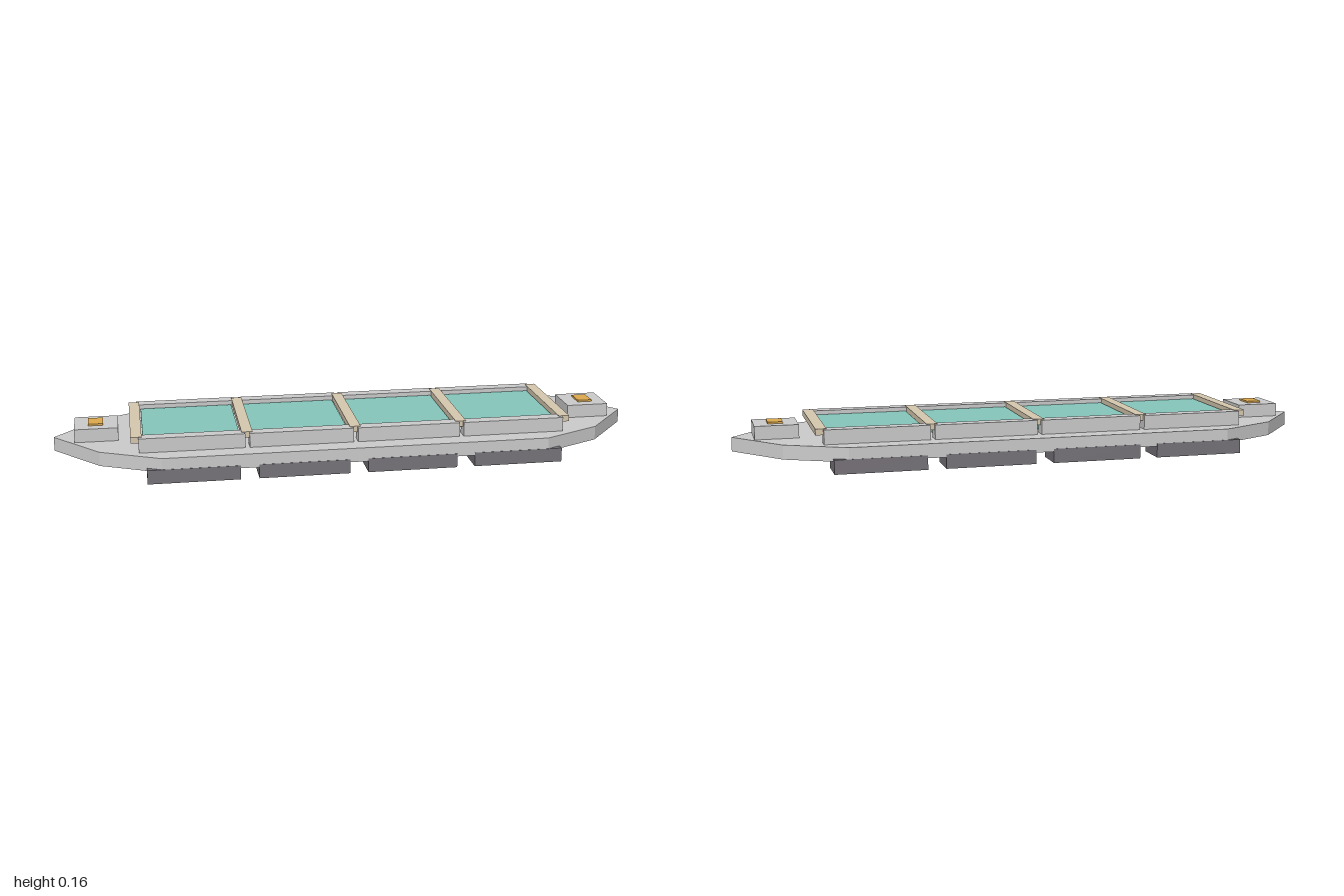
import * as THREE from 'three';

const mat = (color) => new THREE.MeshStandardMaterial({ color, flatShading: true });

export function createModel() {
  const model = new THREE.Group();
  model.name = 'barge';
  const grey = mat(0xcccccc), tan = mat(0xd7c9af), teal = mat(0x86c7bc);
  const amber = mat(0xdda94e), dark = mat(0x767279);

  // Box from its centre (u along the vessel, v across) and its bottom and top heights
  const box = (name, material, u, v, length, width, y0, y1) => {
    const mesh = new THREE.Mesh(new THREE.BoxGeometry(length, y1 - y0, width), material);
    mesh.position.set(u, (y0 + y1) / 2, v);
    mesh.name = name;
    model.add(mesh);
  };

  // Flat hull with pointed ends
  const quarter = [[1.156, 0], [0.98, 0.213], [0.75, 0.327]];
  const outline = [
    ...quarter,
    ...quarter.slice().reverse().map(([u, v]) => [-u, v]),
    ...quarter.slice(1).map(([u, v]) => [-u, -v]),
    ...quarter.slice(1).reverse().map(([u, v]) => [u, -v]),
  ].map(([u, v]) => new THREE.Vector2(u, v));
  const hullGeometry = new THREE.ExtrudeGeometry(new THREE.Shape(outline), { depth: 0.055, bevelEnabled: false });
  hullGeometry.rotateX(-Math.PI / 2);
  const hull = new THREE.Mesh(hullGeometry, grey);
  hull.position.y = 0.044;
  hull.name = 'hull';
  model.add(hull);

  // Four bays: hatch panel, side rails and underside pads
  const pitch = 0.42;
  for (let i = 0; i < 4; i++) {
    const u = (i - 1.5) * pitch;
    box('hatchPanel', teal, u, 0, 0.368, 0.386, 0.098, 0.14);
    for (const side of [-1, 1]) {
      box('sideRail', grey, u, side * 0.225, 0.403, 0.05, 0.098, 0.155);
      box('undersidePad', dark, u, side * 0.2635, 0.35, 0.13, 0, 0.055);
    }
  }

  // Cross bars between and at the ends of the bays
  for (let i = -2; i <= 2; i++) box('crossBar', tan, i * pitch, 0, 0.042, 0.466, 0.133, 0.157);

  // Raised end boxes with small caps
  for (const end of [-1, 1]) {
    box('endBox', grey, end * 0.99, 0, 0.168, 0.165, 0.098, 0.151);
    box('endBoxCap', amber, end * 0.992, 0, 0.058, 0.08, 0.148, 0.158);
  }

  // The vessel lies diagonally
  model.rotation.y = Math.PI / 6;
  const root = new THREE.Group();
  root.name = 'model';
  root.add(model);
  return root;
}
